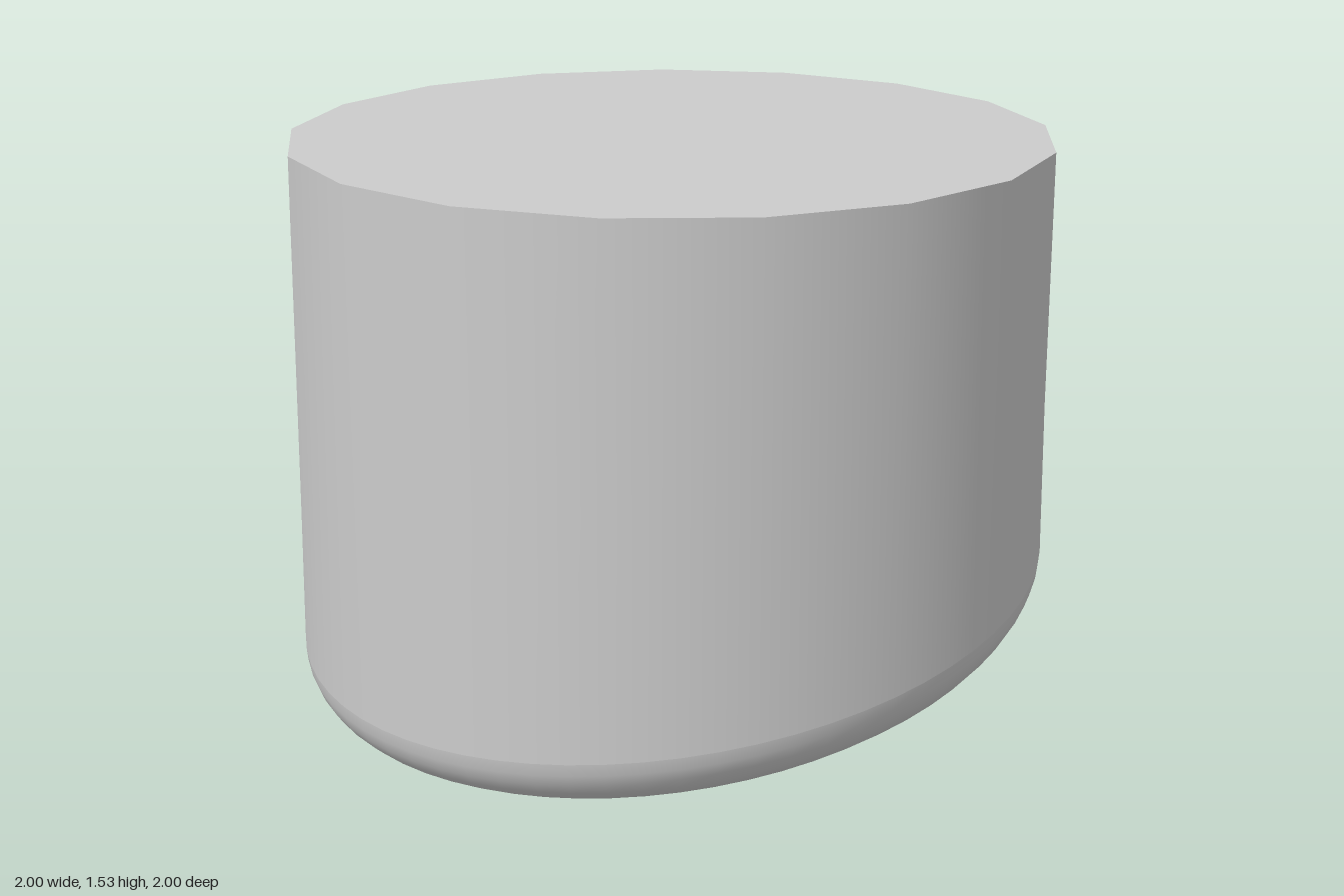
import * as THREE from 'three';

const SIDES = 17;        // facets of the flat upper rim
const N = SIDES * 4;     // points in every loop
const TOP = 1.53;
const FILLET = 0.12;
const RECESS = 0.065;

// Tilted shallow bowl that forms the underside
const dome = (x, z) => 0.15 * ((x + 0.417) ** 2 + (z - 0.37) ** 2);

// Radius of the triangular recess outline (points towards -z)
function triangleRadius(a) {
  const s = Math.sin(a);
  const base = s > 0 ? 0.333 / s : Infinity;
  const flank = 0.918 * Math.abs(Math.cos(a)) - 0.538 * s;
  return Math.min(base, flank > 0 ? 0.3147 / flank : Infinity);
}

// Radius of the regular polygon at the flat end, one corner on -x
function polygonRadius(a) {
  const step = (2 * Math.PI) / SIDES;
  const t = (((a - Math.PI) % step) + step) % step;
  return Math.cos(step / 2) / Math.cos(t - step / 2);
}

// One loop of points: radius by angle, height by position
function loop(radius, height) {
  return Array.from({ length: N }, (_, i) => {
    const a = (i / N) * 2 * Math.PI;
    const r = radius(a);
    const x = r * Math.cos(a), z = r * Math.sin(a);
    return [x, height(x, z), z];
  });
}

// Skin consecutive closed loops
function loft(name, loops, { flat = false, radial = false } = {}) {
  const index = [];
  for (let j = 0; j < loops.length - 1; j++) {
    for (let i = 0; i < N; i++) {
      const k = (i + 1) % N;
      const a = j * N + i, b = j * N + k, c = a + N, d = b + N;
      index.push(a, c, b, b, c, d);
    }
  }
  const geo = new THREE.BufferGeometry();
  geo.setAttribute('position', new THREE.Float32BufferAttribute(loops.flat(2), 3));
  geo.setIndex(index);
  geo.computeVertexNormals();
  if (radial) {
    const n = geo.attributes.normal;
    for (let i = 0; i < n.count; i++) {
      const a = ((i % N) / N) * 2 * Math.PI;
      n.setXYZ(i, Math.cos(a), 0, Math.sin(a));
    }
  }
  const mesh = new THREE.Mesh(geo, new THREE.MeshStandardMaterial({ color: 0xcccccc, flatShading: flat }));
  mesh.name = name;
  return mesh;
}

export function createModel() {
  const group = new THREE.Group();
  group.name = 'roundButton';
  const floor = (x, z) => dome(x, z) + RECESS;
  const rimHeight = (x, z) => dome(x, z) + FILLET;

  // Triangular recess: floor follows the bowl, walls are upright
  group.add(loft('recessFloor', [0, 0.25, 0.5, 0.75, 1].map(t =>
    loop(a => t * triangleRadius(a), floor))));
  group.add(loft('recessWalls', [loop(triangleRadius, floor), loop(triangleRadius, dome)], { flat: true }));

  // Curved underside from the triangle outline to the rounded rim
  const inner = 1 - FILLET;
  const underside = [0, 0.2, 0.4, 0.6, 0.8].map(t =>
    loop(a => THREE.MathUtils.lerp(triangleRadius(a), inner, t), dome));
  for (let k = 0; k <= 6; k++) {
    const q = (k / 6) * Math.PI / 2;
    underside.push(loop(() => inner + FILLET * Math.sin(q),
      (x, z) => dome(x, z) + FILLET * (1 - Math.cos(q))));
  }
  group.add(loft('undersideAndRoundedRim', underside));

  // Side wall blends from the round rim to the faceted flat end
  group.add(loft('sideWall', [loop(() => 1, rimHeight), loop(polygonRadius, () => TOP)], { radial: true }));

  // Flat end
  group.add(loft('flatEnd', [loop(polygonRadius, () => TOP), loop(() => 0, () => TOP)], { flat: true }));

  return group;
}
